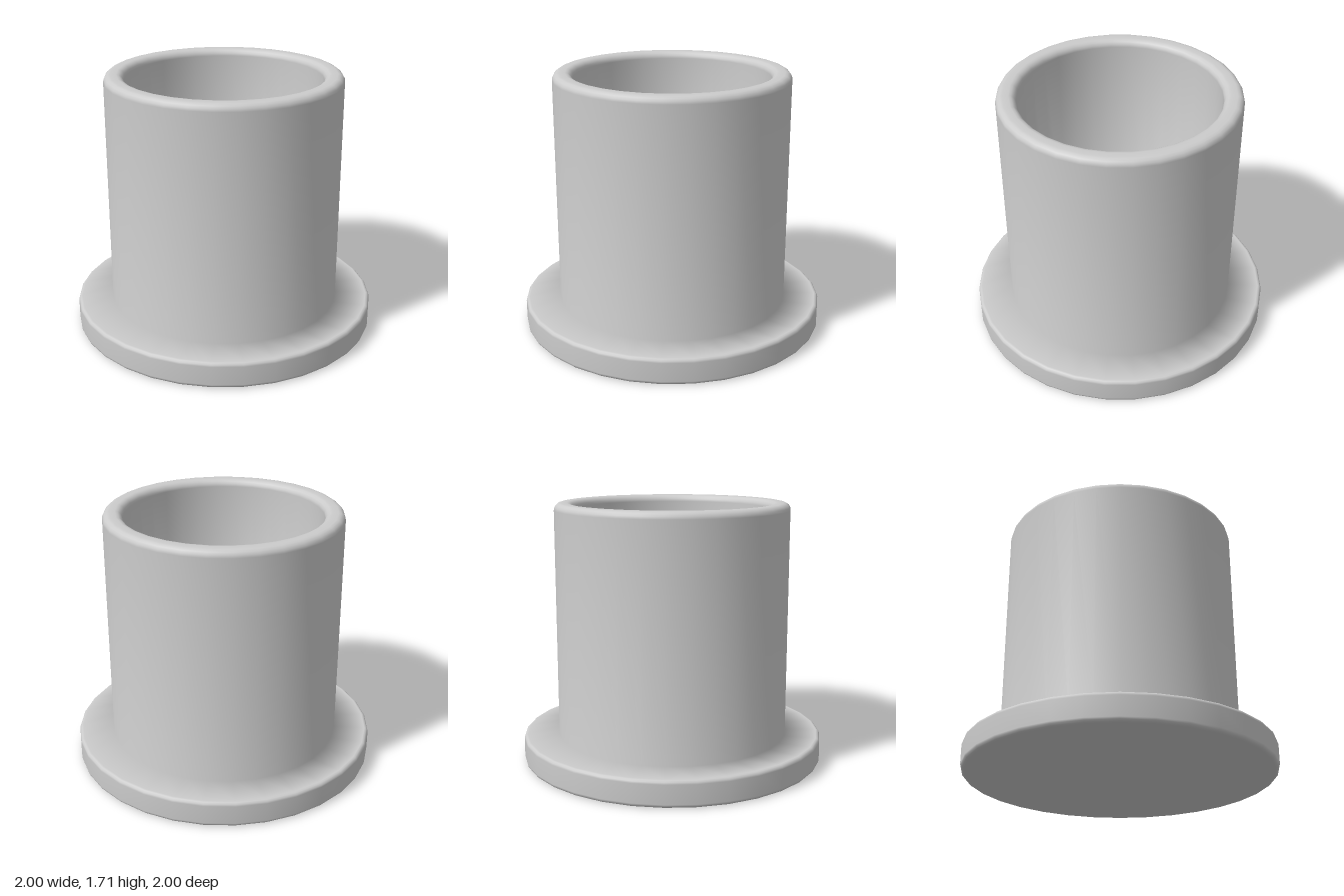
import * as THREE from 'three';

const SIDES = 32;

// Quarter-round corner of radius r about (cx, cy), from angle a0 to a1 in degrees
function corner(cx, cy, r, a0, a1, steps = 4) {
  const pts = [];
  for (let i = 0; i <= steps; i++) {
    const a = THREE.MathUtils.degToRad(a0 + ((a1 - a0) * i) / steps);
    pts.push(new THREE.Vector2(cx + r * Math.cos(a), cy + r * Math.sin(a)));
  }
  return pts;
}

export function createModel() {
  const group = new THREE.Group();
  group.name = 'flangedCup';

  const flangeR = 1, flangeTop = 0.175, flangeBevel = 0.025;
  const outerR = 0.767, innerR = 0.64, top = 1.71, lip = 0.045, floor = 0.15;

  // One closed profile: underside, flange rim, outer wall, rounded lip, bore, floor
  const profile = [
    new THREE.Vector2(0, 0),
    ...corner(flangeR - flangeBevel, flangeBevel, flangeBevel, -90, 0, 3),
    ...corner(flangeR - flangeBevel, flangeTop - flangeBevel, flangeBevel, 0, 90, 3),
    new THREE.Vector2(outerR, flangeTop),
    ...corner(outerR - lip, top - lip, lip, 0, 90),
    ...corner(innerR + lip, top - lip, lip, 90, 180),
    new THREE.Vector2(innerR, floor),
    new THREE.Vector2(0, floor),
  ];

  const body = new THREE.Mesh(
    new THREE.LatheGeometry(profile, SIDES),
    new THREE.MeshStandardMaterial({ color: 0xcccccc })
  );
  body.name = 'flangedSleeve';
  group.add(body);
  return group;
}
